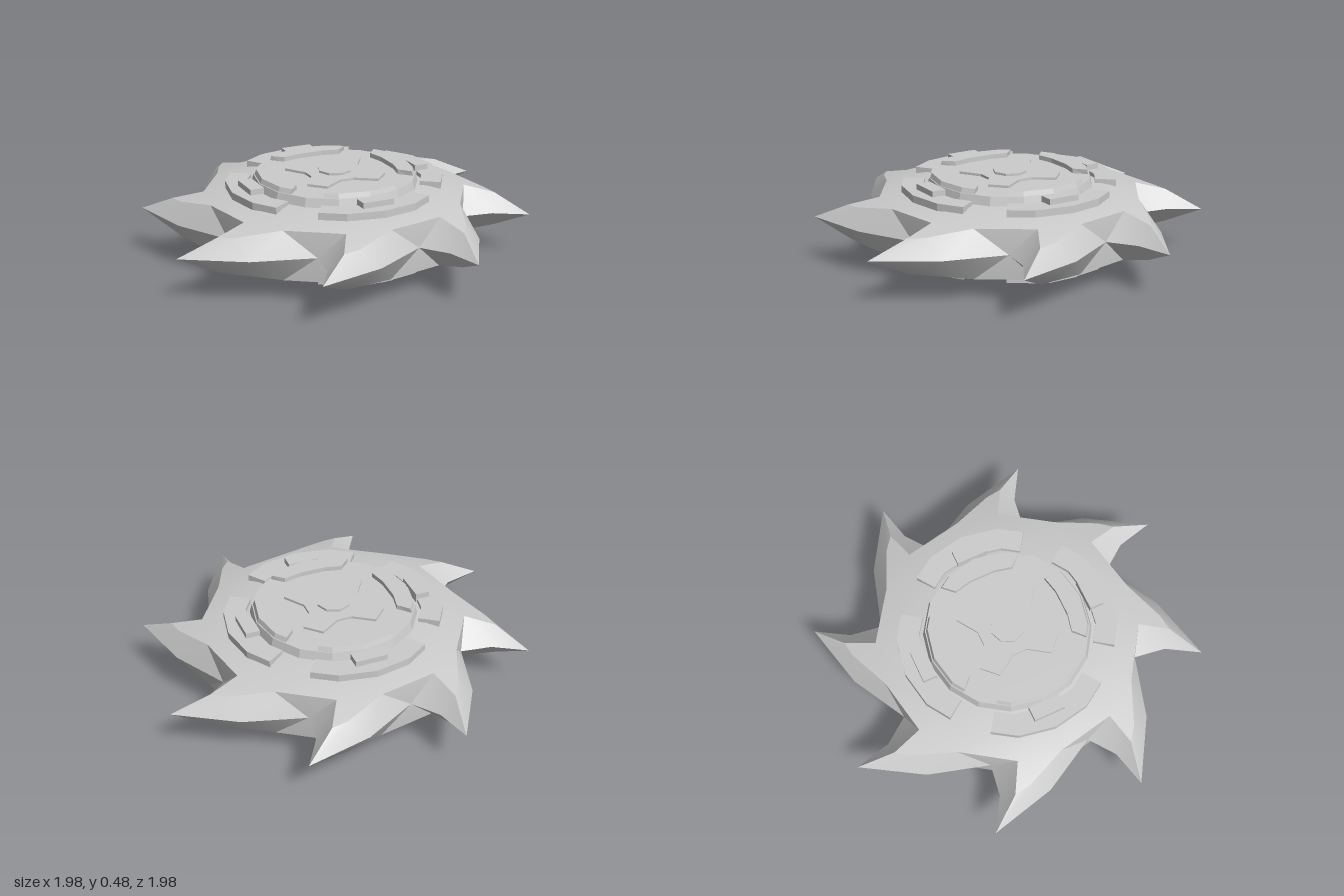
import * as THREE from 'three';
import { toCreasedNormals } from 'three/addons/utils/BufferGeometryUtils.js';

const MID = 0.24; // height of the cutting edge
const BLADES = 8;
const material = new THREE.MeshStandardMaterial({ color: 0xcccccc });

function addMesh(parent, name, geometry) {
  const mesh = new THREE.Mesh(geometry, material);
  mesh.name = name;
  parent.add(mesh);
  return mesh;
}

// Flat plate: outline in plan (x, -z), standing between heights y0 and y1 above the mid plane
function plate(points, y0, y1) {
  const shape = new THREE.Shape(points.map(([x, u]) => new THREE.Vector2(x, u)));
  return new THREE.ExtrudeGeometry(shape, { depth: y1 - y0, bevelEnabled: false })
    .rotateX(-Math.PI / 2).translate(0, y0, 0);
}

// Domed disc with swept teeth: one sector, repeated around and mirrored below
function bladeGeometry() {
  const base = { // x, -z, height above the mid plane
    tip: [-0.297, 0.99, 0], hookEdge: [-0.25, 0.8, 0], root: [-0.15, 0.665, 0],
    backEdge: [0.14, 0.825, 0], hookRidge: [-0.33, 0.79, 0.09], notch: [-0.285, 0.63, 0.13],
    shoulder: [0.02, 0.69, 0.13], backRidge: [0.24, 0.78, 0.095],
    inner: [-0.206, 0.456, 0.168], innerMid: [0.015, 0.5, 0.168], centre: [0, 0, 0.172],
  };
  // a trailing + means the same point on the next tooth
  const faces = [
    'centre innerMid inner', 'centre inner+ innerMid',
    'inner innerMid shoulder', 'inner shoulder notch',
    'innerMid inner+ notch+', 'innerMid notch+ shoulder',
    'shoulder notch+ backRidge', 'backRidge notch+ hookRidge+', 'backRidge hookRidge+ tip+',
    'tip hookRidge hookEdge', 'hookEdge hookRidge notch', 'hookEdge notch root',
    'root notch shoulder', 'root shoulder backEdge',
    'backEdge shoulder backRidge', 'backEdge backRidge tip+',
  ].map((f) => f.split(' '));
  const pos = [];
  const corner = (key, k, side) => {
    const next = key.endsWith('+');
    const [x, u, h] = base[next ? key.slice(0, -1) : key];
    const a = -(k + (next ? 1 : 0)) * 2 * Math.PI / BLADES;
    const c = Math.cos(a), s = Math.sin(a);
    pos.push(x * c - u * s, MID + side * h, -(x * s + u * c));
  };
  for (const side of [1, -1])
    for (let k = 0; k < BLADES; k++)
      for (const f of faces)
        for (const key of side > 0 ? f : [...f].reverse()) corner(key, k, side);
  const g = new THREE.BufferGeometry();
  g.setAttribute('position', new THREE.Float32BufferAttribute(pos, 3));
  return toCreasedNormals(g, 0.4);
}

// Raised cap with its own plates, clips and central cross
function createCap() {
  const cap = new THREE.Group();
  const hub = new THREE.CylinderGeometry(0.428, 0.445, 0.065, 16).toNonIndexed();
  hub.computeVertexNormals();
  addMesh(cap, 'hub', hub.translate(0, 0.1825, 0));

  // Corner plate with a sloping outer rim
  const R = 0.428, rim = [67.5, 45, 22.5].map((d) => {
    const a = d * Math.PI / 180;
    return [R * Math.cos(a), R * Math.sin(a)];
  });
  const corner = plate([[0.09, 0.32], [0.17, 0.27], [0.27, 0.17], [0.32, 0.09],
    [0.41, 0.09], ...rim.reverse(), [0.09, 0.41]], 0.2, 0.24);
  const p = corner.attributes.position;
  for (let i = 0; i < p.count; i++) {
    if (Math.hypot(p.getX(i), p.getZ(i)) > 0.4 && p.getY(i) > 0.22) {
      p.setX(i, p.getX(i) * 0.965);
      p.setZ(i, p.getZ(i) * 0.965);
    }
  }
  corner.computeVertexNormals();

  const pad = plate([[0.09, 0.44], [0.19, 0.42], [0.325, 0.325], [0.42, 0.19], [0.44, 0.09],
    [0.55, 0.11], [0.52, 0.25], [0.41, 0.41], [0.25, 0.52], [0.11, 0.55]], 0.14, 0.19);
  const clip = new THREE.BoxGeometry(0.075, 0.05, 0.17)
    .translate(0.475, 0.195, 0).rotateY(Math.PI / 4);

  for (let q = 0; q < 4; q++) {
    const quarter = new THREE.Group();
    quarter.name = 'quarter';
    quarter.rotation.y = q * Math.PI / 2;
    addMesh(quarter, 'cornerPlate', corner);
    addMesh(quarter, 'outerPad', pad);
    addMesh(quarter, 'clip', clip);
    cap.add(quarter);
  }

  // Four-armed cross and octagonal boss
  const cross = [];
  for (let q = 0; q < 4; q++) {
    const c = Math.round(Math.cos(q * Math.PI / 2)), s = Math.round(Math.sin(q * Math.PI / 2));
    for (const [x, u] of [[0.26, -0.055], [0.26, 0.055], [0.135, 0.08], [0.08, 0.135]])
      cross.push([x * c - u * s, x * s + u * c]);
  }
  addMesh(cap, 'cross', plate(cross, 0.2, 0.228));
  const boss = Array.from({ length: 8 }, (_, i) =>
    [0.09 * Math.cos(i * Math.PI / 4), 0.09 * Math.sin(i * Math.PI / 4)]);
  addMesh(cap, 'boss', plate(boss, 0.2, 0.24));
  return cap;
}

export function createModel() {
  const model = new THREE.Group();
  model.name = 'throwingDisc';
  addMesh(model, 'bladedDisc', bladeGeometry());
  for (const [name, turn] of [['topCap', 0], ['bottomCap', Math.PI]]) {
    const cap = createCap();
    cap.name = name;
    cap.position.y = MID;
    cap.rotation.x = turn;
    model.add(cap);
  }
  return model;
}
